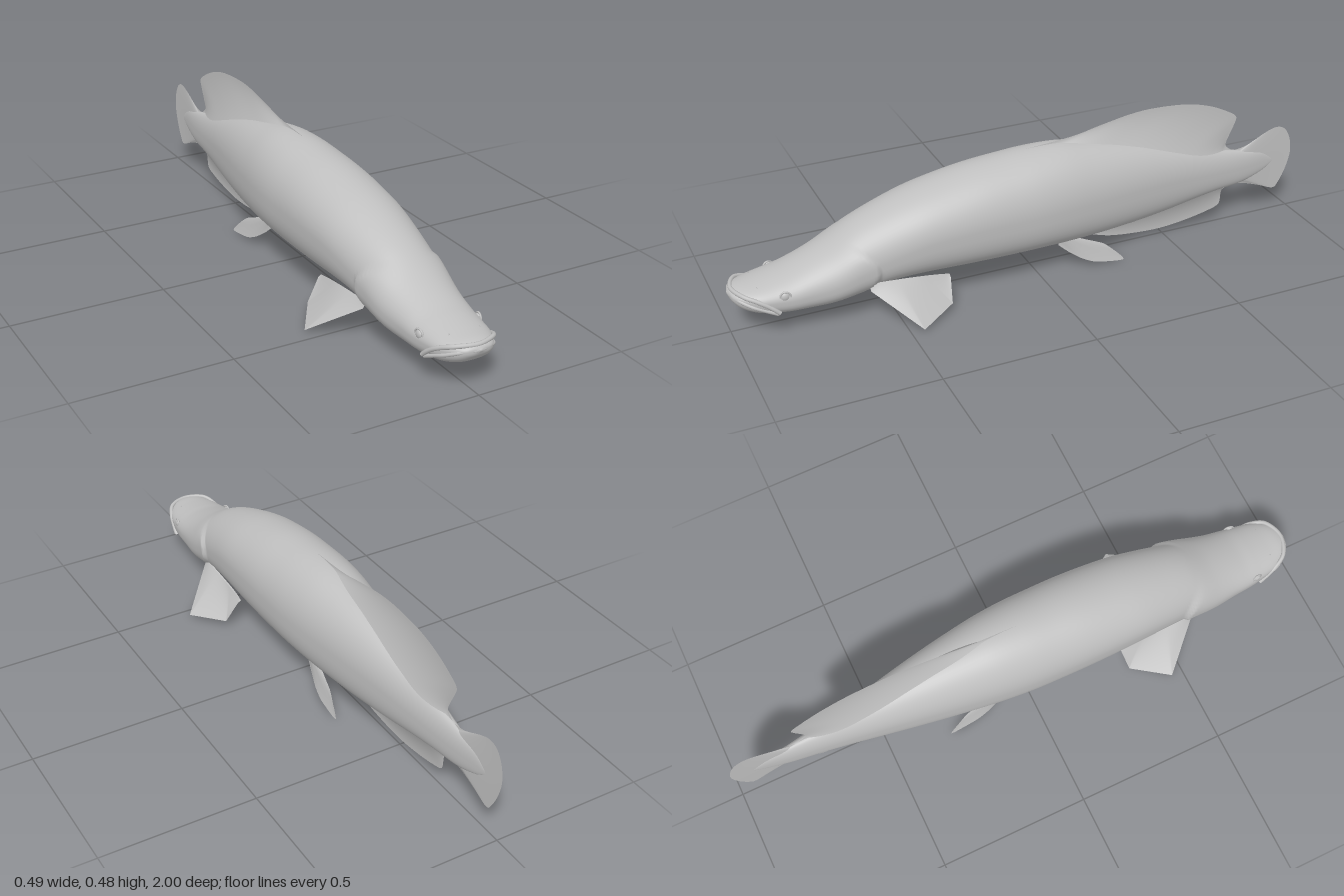
import * as THREE from 'three';

const skin = new THREE.MeshStandardMaterial({ color: 0xbfbfbf, side: THREE.DoubleSide });
skin.name = 'greySkin';
const V = (x, y, z) => new THREE.Vector3(x, y, z);
const spline = (pts, tension) => new THREE.CatmullRomCurve3(
  pts.map(p => V(...p)), false, 'catmullrom', tension);
const step = THREE.MathUtils.smoothstep;

// Smooth surface from a grid of points; closed joins the last column to the first
function sheet(nu, nv, closed, point) {
  const pos = [], idx = [], cols = closed ? nv : nv + 1;
  for (let i = 0; i <= nu; i++) {
    for (let j = 0; j < cols; j++) pos.push(...point(i / nu, j / nv).toArray());
  }
  for (let i = 0; i < nu; i++) {
    for (let j = 0; j < nv; j++) {
      const k = (j + 1) % cols;
      const a = i * cols + j, b = i * cols + k, c = b + cols, d = a + cols;
      idx.push(a, b, c, a, c, d);
    }
  }
  const g = new THREE.BufferGeometry();
  g.setAttribute('position', new THREE.Float32BufferAttribute(pos, 3));
  g.setIndex(idx);
  g.computeVertexNormals();
  return g;
}

function mesh(name, geometry, parent) {
  const m = new THREE.Mesh(geometry, skin);
  m.name = name;
  parent.add(m);
  return m;
}

// Body stations from snout to tail: z, top, bottom, half width, height of widest point
const stations = [
  [1, 0.146, 0.14, 0.004, 0.143], [0.99, 0.156, 0.122, 0.042, 0.141], [0.965, 0.165, 0.098, 0.068, 0.136],
  [0.92, 0.172, 0.08, 0.092, 0.13], [0.86, 0.184, 0.07, 0.104, 0.128], [0.8, 0.2, 0.067, 0.112, 0.13],
  [0.7, 0.242, 0.068, 0.12, 0.145], [0.6, 0.298, 0.083, 0.125, 0.18], [0.5, 0.338, 0.098, 0.135, 0.21],
  [0.4, 0.369, 0.1, 0.144, 0.235], [0.3, 0.391, 0.097, 0.149, 0.245], [0.2, 0.408, 0.094, 0.151, 0.25],
  [0.1, 0.418, 0.092, 0.15, 0.25], [0, 0.425, 0.091, 0.147, 0.25], [-0.1, 0.424, 0.089, 0.138, 0.25],
  [-0.2, 0.41, 0.088, 0.124, 0.247], [-0.3, 0.391, 0.09, 0.108, 0.243], [-0.4, 0.367, 0.095, 0.09, 0.237],
  [-0.5, 0.338, 0.104, 0.071, 0.228], [-0.6, 0.308, 0.117, 0.052, 0.215], [-0.7, 0.28, 0.128, 0.035, 0.204],
  [-0.8, 0.256, 0.136, 0.02, 0.197], [-0.88, 0.235, 0.16, 0.008, 0.197], [-0.93, 0.2, 0.19, 0.001, 0.195],
];
const outline = spline(stations.map(s => [s[0], s[1], s[2]]), 0.5);
const girth = spline(stations.map(s => [s[0], s[3], s[4]]), 0.5);

function bodyPoint(u, v) {
  const o = outline.getPoint(u), w = girth.getPoint(u), z = o.x;
  const s = Math.sin(v * 2 * Math.PI), c = Math.cos(v * 2 * Math.PI);
  const e = c > 0 ? 1 : 2 / 2.7;
  const y = w.z + (c > 0 ? o.y - w.z : o.z - w.z) * Math.abs(c) ** e;
  let x = Math.sign(s) * Math.max(w.y, 0) * Math.abs(s) ** e;
  // Raised gill cover with a curved rear edge
  const edge = 0.555 + 9 * (y - 0.17) ** 2;
  const lift = step(z, edge - 0.006, edge + 0.006) * (1 - step(z, 0.62, 0.78)) * (1 - step(y, 0.22, 0.28));
  x *= 1 + 0.09 * lift;
  return V(x, y, z);
}

// Fin between a root line and a free edge, thick at the root and thin at the edge
function fin(name, root, rim, thickness, normal, parent, tension = 0.5) {
  const group = new THREE.Group();
  group.name = name;
  const a = spline(root, 0.5), b = spline(rim, tension), n = V(...normal).normalize();
  for (const side of [1, -1]) {
    mesh(name + (side > 0 ? 'LeftFace' : 'RightFace'), sheet(60, 14, false, (u, v) => {
      const t = 0.0015 * (1 - v) + thickness * Math.sin(Math.PI * u) ** 0.7 * (1 - v) ** 2;
      return a.getPoint(u).lerp(b.getPoint(u), v).addScaledVector(n, side * t);
    }), group);
  }
  parent.add(group);
}

export function createModel() {
  const fish = new THREE.Group();
  fish.name = 'fish';
  mesh('body', sheet(280, 56, true, bodyPoint), fish);

  // Fins along the middle
  fin('dorsalFin',
    [[0, 0.4, 0.02], [0, 0.4, -0.15], [0, 0.37, -0.3], [0, 0.335, -0.45], [0, 0.295, -0.58], [0, 0.265, -0.68], [0, 0.25, -0.76]],
    [[0, 0.424, 0.02], [0, 0.437, -0.15], [0, 0.456, -0.25], [0, 0.475, -0.36], [0, 0.48, -0.45], [0, 0.471, -0.57],
      [0, 0.448, -0.66], [0, 0.416, -0.73], [0, 0.39, -0.767], [0, 0.362, -0.762], [0, 0.325, -0.745], [0, 0.288, -0.734], [0, 0.262, -0.765]],
    0.034, [1, 0, 0], fish);
  fin('analFin',
    [[0, 0.1, -0.15], [0, 0.105, -0.35], [0, 0.125, -0.55], [0, 0.145, -0.7], [0, 0.15, -0.78]],
    [[0, 0.088, -0.15], [0, 0.062, -0.22], [0, 0.038, -0.3], [0, 0.026, -0.4], [0, 0.023, -0.5], [0, 0.034, -0.6],
      [0, 0.05, -0.68], [0, 0.064, -0.718], [0, 0.09, -0.726], [0, 0.118, -0.727], [0, 0.134, -0.78]],
    0.025, [1, 0, 0], fish);
  fin('tailFin',
    [[0, 0.25, -0.76], [0, 0.2, -0.76], [0, 0.14, -0.76]],
    [[0, 0.262, -0.765], [0, 0.272, -0.82], [0, 0.305, -0.89], [0, 0.318, -0.935], [0, 0.305, -0.97], [0, 0.265, -0.993],
      [0, 0.21, -1], [0, 0.15, -0.985], [0, 0.1, -0.96], [0, 0.083, -0.938], [0, 0.105, -0.88], [0, 0.125, -0.82], [0, 0.134, -0.765]],
    0.012, [1, 0, 0], fish);

  // Paired fins, eyes and nostrils
  for (const s of [1, -1]) {
    const side = s > 0 ? 'left' : 'right';
    const flip = pts => pts.map(([x, y, z]) => [s * x, y, z]);
    fin(side + 'PectoralFin',
      flip([[0.112, 0.13, 0.585], [0.11, 0.12, 0.5], [0.11, 0.11, 0.4], [0.115, 0.105, 0.325]]),
      flip([[0.122, 0.11, 0.585], [0.247, 0.012, 0.46], [0.168, 0.03, 0.337], [0.125, 0.098, 0.325]]),
      0.012, [s * 0.65, 0.75, 0], fish, 0);
    fin(side + 'PelvicFin',
      flip([[0.075, 0.11, -0.07], [0.075, 0.11, -0.1], [0.075, 0.11, -0.14]]),
      flip([[0.078, 0.095, -0.07], [0.086, 0.065, -0.105], [0.097, 0.035, -0.15], [0.104, 0.015, -0.2],
        [0.108, 0.004, -0.295], [0.098, 0.045, -0.26], [0.088, 0.075, -0.22], [0.08, 0.098, -0.14]]),
      0.007, [s, 0.4, 0], fish, 0.35);

    const eye = mesh(side + 'Eye', new THREE.SphereGeometry(0.014, 20, 14), fish);
    eye.position.set(s * 0.099, 0.145, 0.845);
    eye.scale.x = 0.6;
    const socket = mesh(side + 'EyeRim', new THREE.TorusGeometry(0.016, 0.003, 8, 24), fish);
    socket.position.set(s * 0.1, 0.145, 0.845);
    socket.rotation.set(0, s * 1.4, 0);
    const nostril = mesh(side + 'Nostril', new THREE.ConeGeometry(0.004, 0.02, 8), fish);
    nostril.position.set(s * 0.052, 0.163, 0.918);
    nostril.rotation.z = s * 0.3;
  }

  // Lips wrapping the broad snout
  const lip = (name, pts, radius) => {
    const half = pts.map(([x, y, z]) => [-x, y, z]).reverse().slice(1);
    const path = spline([...pts.slice(0, -1), pts[pts.length - 1], ...half], 0.5);
    mesh(name, new THREE.TubeGeometry(path, 60, radius, 10), fish);
  };
  lip('upperLip', [[0.1, 0.092, 0.865], [0.097, 0.115, 0.89], [0.088, 0.138, 0.925], [0.062, 0.154, 0.965], [0, 0.157, 0.987]], 0.007);
  lip('lowerLip', [[0.096, 0.088, 0.87], [0.091, 0.105, 0.905], [0.08, 0.122, 0.943], [0.052, 0.138, 0.977], [0, 0.142, 0.994]], 0.006);
  return fish;
}
